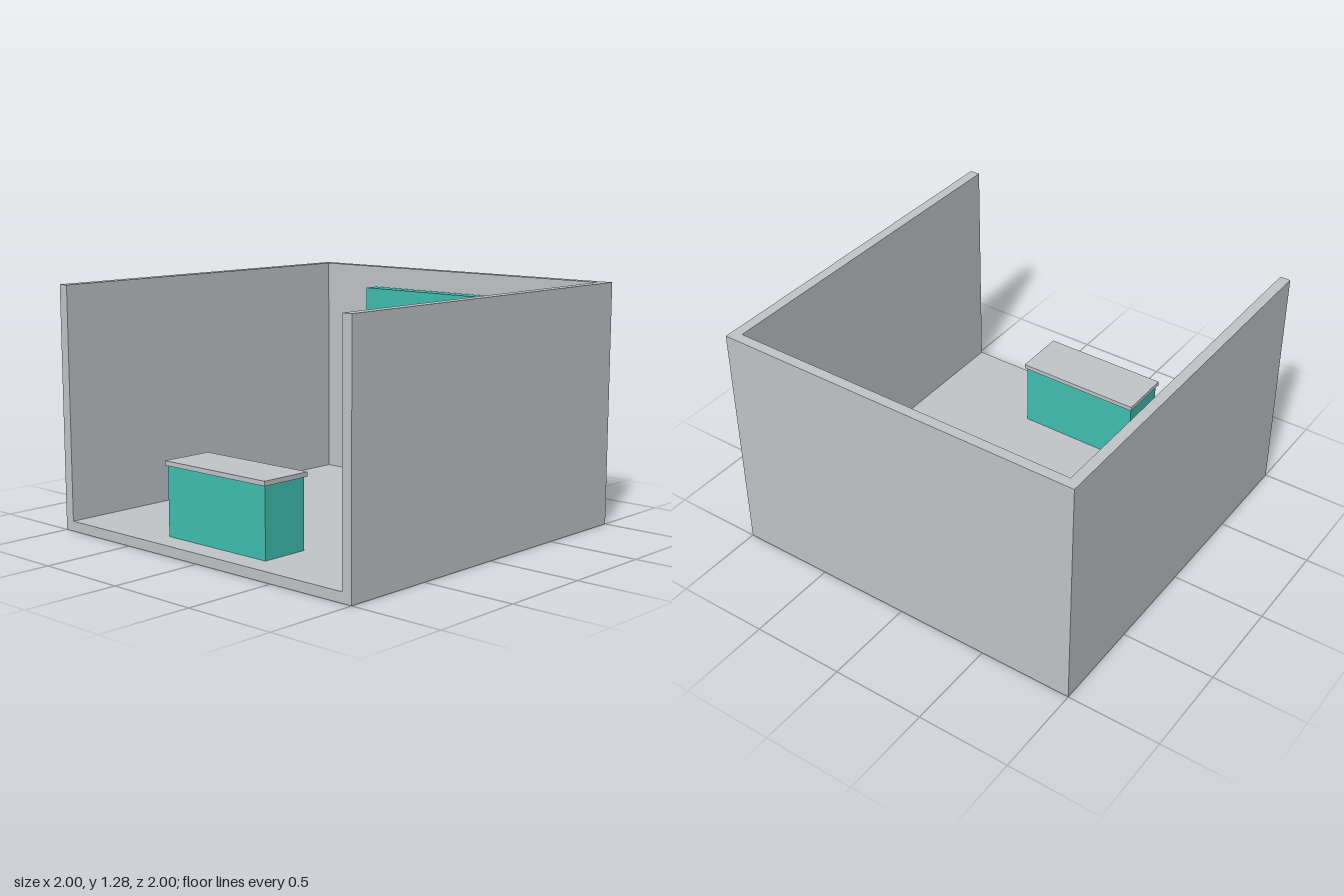
import * as THREE from 'three';

export function createModel() {
  const model = new THREE.Group();
  model.name = 'room';

  const grey = new THREE.MeshStandardMaterial({ color: 0xc2c6c9 });
  grey.name = 'light grey';
  const teal = new THREE.MeshStandardMaterial({ color: 0x41c0b3 });
  teal.name = 'teal';

  // Box given by its extents along each axis
  function box(name, material, [x0, x1], [y0, y1], [z0, z1]) {
    const mesh = new THREE.Mesh(new THREE.BoxGeometry(x1 - x0, y1 - y0, z1 - z0), material);
    mesh.position.set((x0 + x1) / 2, (y0 + y1) / 2, (z0 + z1) / 2);
    mesh.name = name;
    model.add(mesh);
  }

  // Room shell: one U-shaped wall, open at the front, around a floor slab
  const height = 1.28, wall = 0.055, floor = 0.053;
  const inner = 1 - wall;
  const outline = [[-1, -1], [-inner, -1], [-inner, inner], [inner, inner], [inner, -1], [1, -1], [1, 1], [-1, 1]];
  const shape = new THREE.Shape(outline.map(([x, y]) => new THREE.Vector2(x, y)));
  const wallGeometry = new THREE.ExtrudeGeometry(shape, { depth: height, bevelEnabled: false });
  wallGeometry.rotateX(-Math.PI / 2);
  const walls = new THREE.Mesh(wallGeometry, grey);
  walls.name = 'walls';
  model.add(walls);
  box('floor', grey, [-inner, inner], [0, floor], [-inner, 1]);

  // Display panel and the ledge beneath it
  box('backPanel', teal, [-0.55, 0.55], [0.242, 1.165], [-0.925, -0.84]);
  box('ledge', grey, [-0.447, 0.447], [0.163, 0.242], [-0.92, -0.72]);

  // Front counter, its foot sunk into the floor
  box('counterBody', teal, [-0.34, 0.34], [0.01, 0.416], [0.61, 0.872]);
  box('counterTop', grey, [-0.35, 0.35], [0.416, 0.44], [0.596, 0.884]);

  return model;
}
